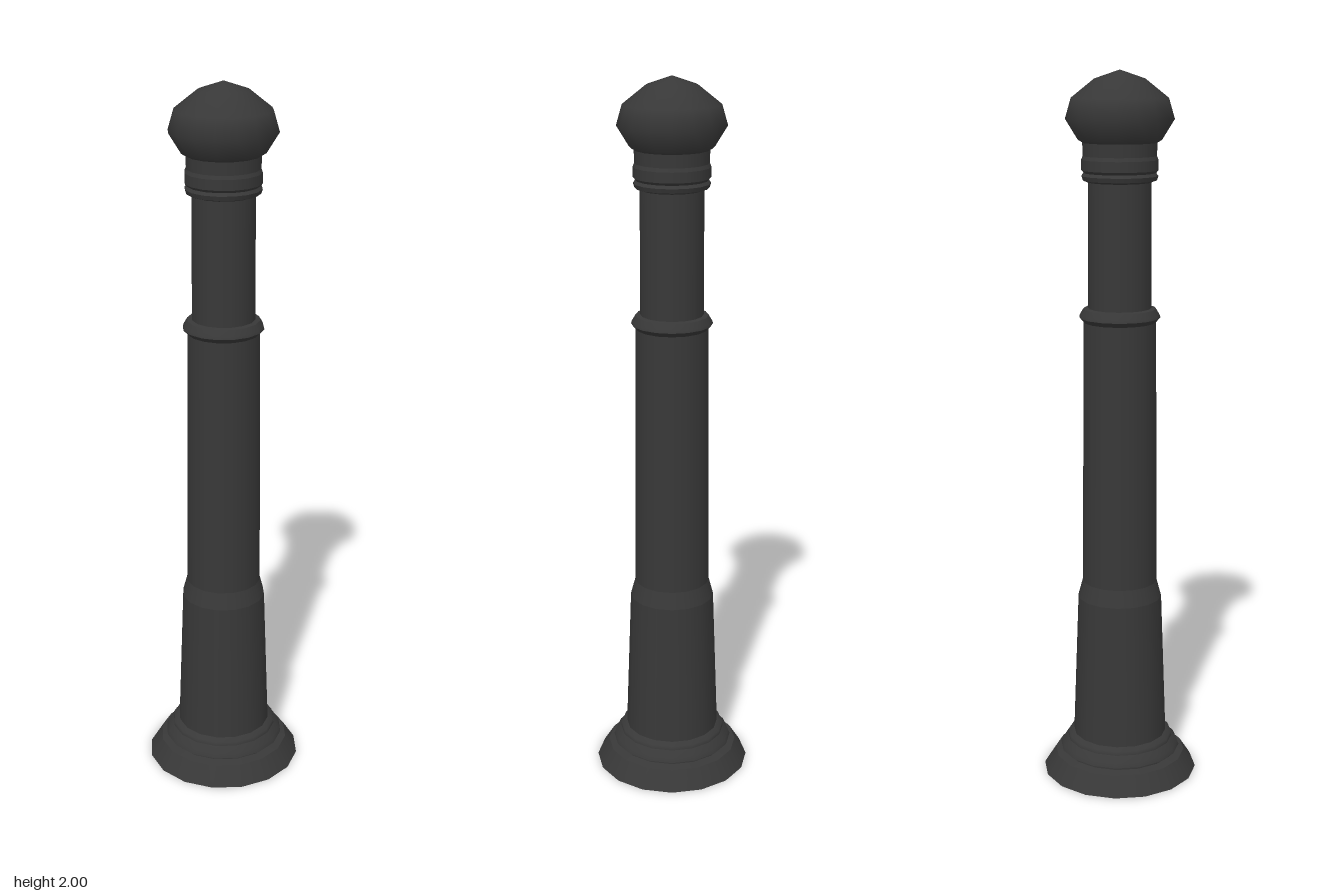
import * as THREE from 'three';

const SIDES = 16;

// Each part is a list of smooth [radius, height] runs; edges between runs stay sharp.
const PARTS = {
  baseFlare: [
    [[0.222, 0], [0.212, 0.016], [0.188, 0.053]],
    [[0.188, 0.053], [0.162, 0.058]],
    [[0.162, 0.058], [0.162, 0.066]],
  ],
  baseMoulding: [
    [[0.162, 0.066], [0.173, 0.068]],
    [[0.173, 0.068], [0.168, 0.08], [0.152, 0.097]],
    [[0.152, 0.097], [0.15, 0.108], [0.134, 0.115]],
  ],
  pedestal: [
    [[0.134, 0.115], [0.119, 0.53]],
    [[0.119, 0.53], [0.106, 0.578]],
  ],
  lowerShaft: [[[0.106, 0.578], [0.1, 1.325]]],
  collar: [
    [[0.1, 1.325], [0.112, 1.338]],
    [[0.112, 1.338], [0.11, 1.345], [0.1, 1.362]],
    [[0.1, 1.362], [0.087, 1.364]],
  ],
  upperShaft: [[[0.087, 1.364], [0.086, 1.705]]],
  capBand: [
    [[0.086, 1.705], [0.1, 1.71]],
    [[0.1, 1.71], [0.104, 1.722]],
    [[0.104, 1.722], [0.098, 1.73]],
    [[0.098, 1.73], [0.104, 1.737]],
    [[0.104, 1.737], [0.104, 1.765]],
    [[0.104, 1.765], [0.1, 1.775]],
    [[0.1, 1.775], [0.101, 1.81]],
  ],
  finial: [
    [[0.101, 1.81], [0.113, 1.817], [0.147, 1.872], [0.131, 1.927], [0.068, 1.977], [0, 2]],
  ],
};

export function createModel() {
  const castIron = new THREE.MeshStandardMaterial({ color: 0x383838, side: THREE.DoubleSide });
  castIron.name = 'castIron';

  const bollard = new THREE.Group();
  bollard.name = 'bollard';
  for (const [name, runs] of Object.entries(PARTS)) {
    const part = new THREE.Group();
    part.name = name;
    runs.forEach((run, i) => {
      const points = run.map(([r, y]) => new THREE.Vector2(r, y));
      const mesh = new THREE.Mesh(new THREE.LatheGeometry(points, SIDES), castIron);
      mesh.name = `${name}Surface${i + 1}`;
      part.add(mesh);
    });
    bollard.add(part);
  }
  // Slight twist of the sixteen-sided section
  bollard.rotation.y = -0.027;

  const model = new THREE.Group();
  model.name = 'post';
  model.add(bollard);
  return model;
}
